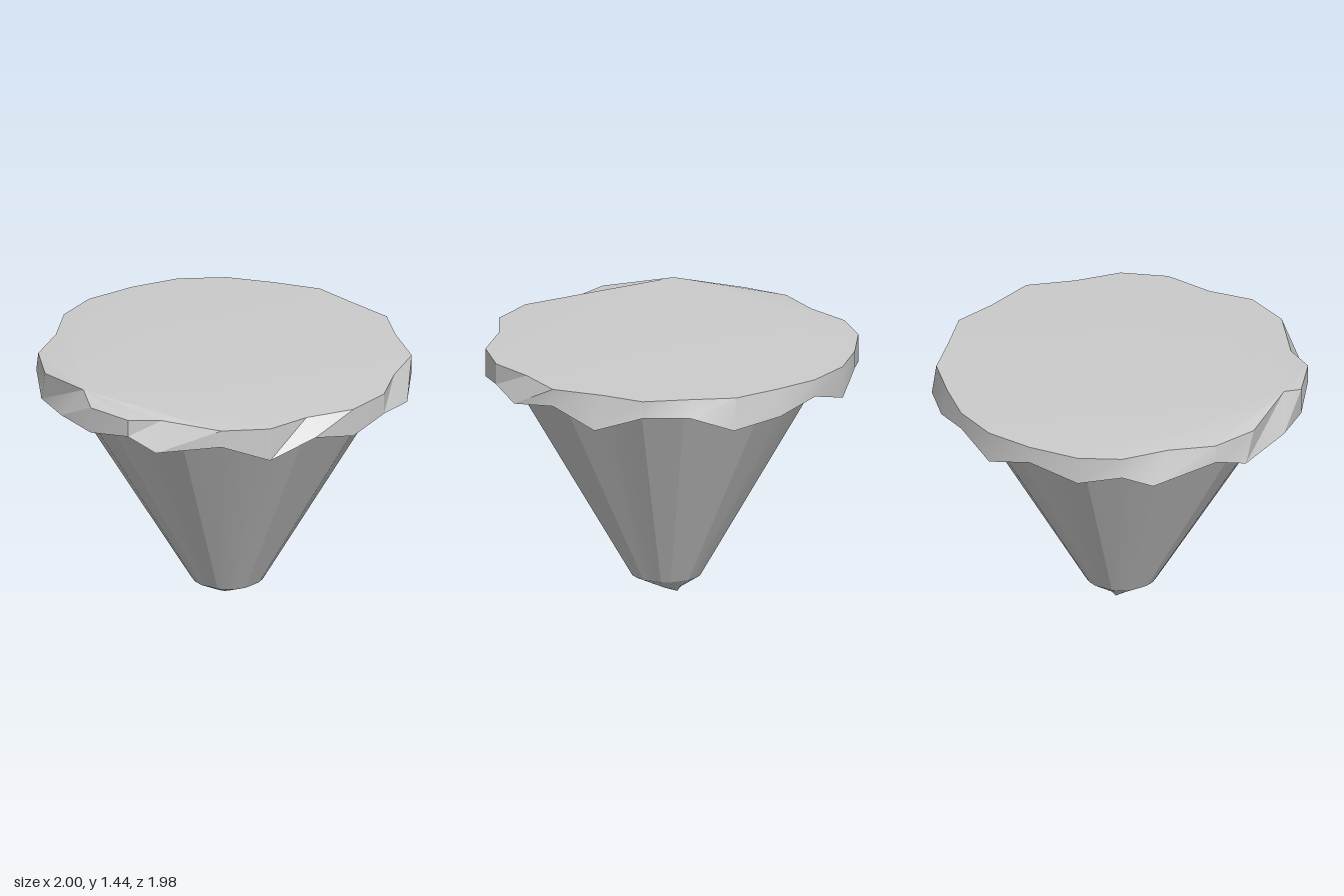
import * as THREE from 'three';
import { toCreasedNormals } from 'three/addons/utils/BufferGeometryUtils.js';

const N = 24;
const PEAK = 20; // raised corner of the top

// Rim corners, counter-clockwise from the front: [x, z]
const TOP = [
  [0, 0.99], [0.26, 0.96], [0.45, 0.81], [0.7, 0.7], [0.86, 0.5], [0.91, 0.25],
  [1, 0], [0.91, -0.27], [0.86, -0.5], [0.68, -0.67], [0.5, -0.85], [0.25, -0.93],
  [0, -0.99], [-0.26, -0.97], [-0.5, -0.86], [-0.73, -0.7], [-0.86, -0.5], [-0.9, -0.24],
  [-0.99, 0], [-0.95, 0.26], [-0.74, 0.57], [-0.7, 0.7], [-0.5, 0.86], [-0.32, 0.86],
];
// Lower rim corners that overhang the top ones, by index
const OVERHANG = {
  2: [0.5, 0.86], 5: [0.98, 0.28], 7: [0.97, -0.26], 9: [0.7, -0.7], 10: [0.53, -0.86],
  11: [0.26, -0.96], 17: [-0.93, -0.35], 18: [-1, 0], 19: [-0.97, 0.2], 20: [-0.86, 0.5], 23: [-0.35, 0.94],
};
// Heights of the jagged lower rim
const HEM = [
  1.3, 1.21, 1.3, 1.24, 1.28, 1.25, 1.3, 1.21, 1.3, 1.3, 1.22, 1.25,
  1.3, 1.22, 1.3, 1.24, 1.28, 1.22, 1.3, 1.22, 1.26, 1.25, 1.3, 1.24,
];
// Grooves in the cone, as radius factors by index
const GROOVE = { 3: 0.97, 7: 0.95, 10: 0.97, 14: 0.96, 18: 0.97, 22: 0.95 };

const indices = [...Array(N).keys()];

// Ring of points around (cx, cz)
const ring = (r, y, cx = 0, cz = 0) => indices.map((i) => {
  const a = (i / N) * Math.PI * 2;
  const k = r * (GROOVE[i] ?? 1);
  return [cx + Math.sin(a) * k, y, cz + Math.cos(a) * k];
});

// Faces between an upper and a lower ring
function band(upper, lower) {
  return indices.flatMap((i) => {
    const j = (i + 1) % N;
    return [lower[i], lower[j], upper[j], lower[i], upper[j], upper[i]];
  });
}

function part(name, points, crease) {
  const geometry = new THREE.BufferGeometry();
  geometry.setAttribute('position', new THREE.Float32BufferAttribute(points.flat(), 3));
  const material = new THREE.MeshStandardMaterial({ color: 0xcccccc, side: THREE.DoubleSide });
  const mesh = new THREE.Mesh(toCreasedNormals(geometry, crease), material);
  mesh.name = name;
  return mesh;
}

export function createModel() {
  const group = new THREE.Group();
  group.name = 'floatingRock';

  const topRing = TOP.map(([x, z], i) => [x, i === PEAK ? 1.44 : 1.395, z]);
  const hemRing = TOP.map((p, i) => {
    const [x, z] = OVERHANG[i] ?? p;
    return [x, HEM[i], z];
  });
  const coneTop = ring(0.87, 1.28, 0.01, 0.02);
  const coneFoot = ring(0.195, 0.11, 0.02, 0.01);
  const tipRing = ring(0.055, 0.03, 0.005, -0.01);
  const tip = indices.map(() => [-0.01, 0, -0.04]);

  // Top face, fanned from its raised corner
  const fan = [];
  for (let k = 1; k < N - 1; k++) {
    fan.push(topRing[PEAK], topRing[(PEAK + k) % N], topRing[(PEAK + k + 1) % N]);
  }
  group.add(part('topSurface', fan, 0.2));

  // Overhanging rim and its underside
  group.add(part('rim', band(topRing, hemRing), 0.45));
  group.add(part('rimUnderside', band(hemRing, coneTop), 0.2));

  // Tapering rock with a blunt point
  group.add(part('cone', band(coneTop, coneFoot), 0.3));
  group.add(part('tip', [...band(coneFoot, tipRing), ...band(tipRing, tip)], 0.2));

  return group;
}
